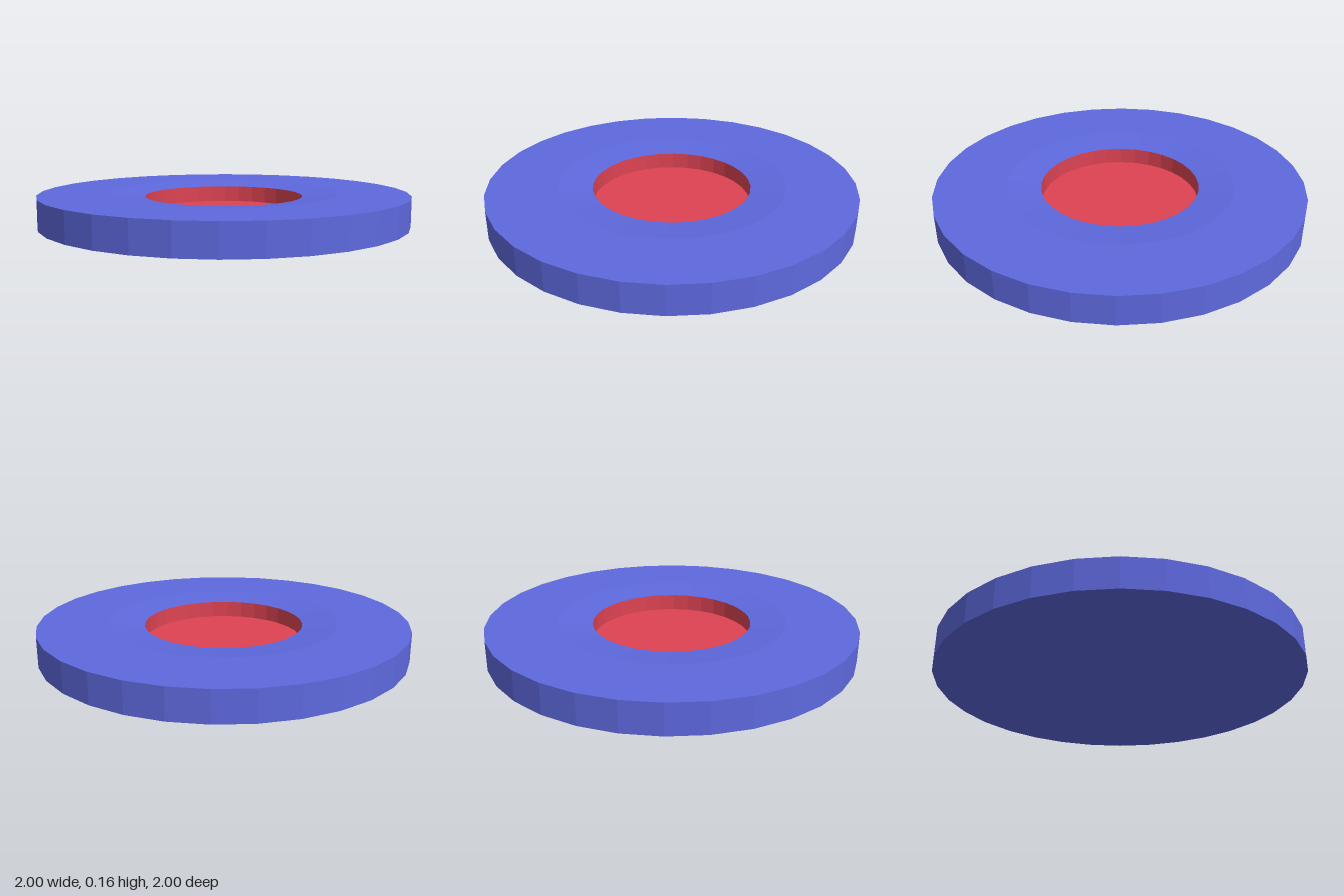
import * as THREE from 'three';

const SIDES = 32;

// Faceted solid of revolution from [radius, height] pairs
function turned(name, color, profile) {
  const points = profile.map(([r, y]) => new THREE.Vector2(r, y));
  const material = new THREE.MeshStandardMaterial({ color, flatShading: true });
  const mesh = new THREE.Mesh(new THREE.LatheGeometry(points, SIDES), material);
  mesh.name = name;
  return mesh;
}

export function createModel() {
  const group = new THREE.Group();
  group.name = 'recessedDisc';

  // Disc: flat base, upright rim, flat top that dips gently towards the well
  group.add(turned('disc', 0x5e69de, [[0, 0], [1, 0], [1, 0.16], [0.62, 0.16], [0.43, 0.14]]));

  // Well: upright wall and flat floor
  group.add(turned('well', 0xde4353, [[0.43, 0.14], [0.43, 0.05], [0, 0.05]]));

  return group;
}
